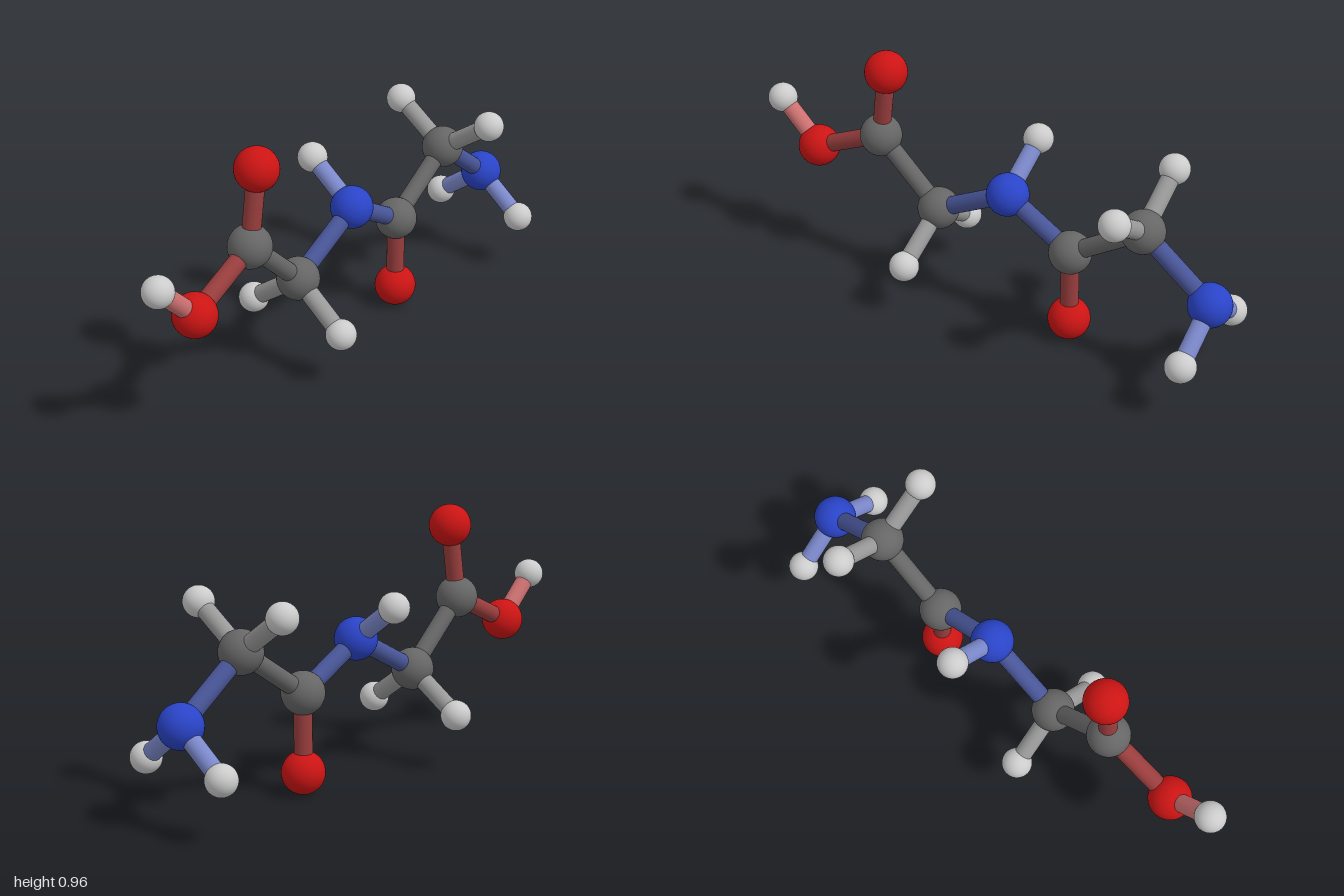
import * as THREE from 'three';

// Elements: name, colour, ball radius
const ELEMENTS = {
  C: { name: 'carbon', color: 0x666666, r: 0.08 },
  O: { name: 'oxygen', color: 0xcc1414, r: 0.08 },
  N: { name: 'nitrogen', color: 0x2a44c8, r: 0.08 },
  H: { name: 'hydrogen', color: 0xcccccc, r: 0.057 },
};
const BOND_RADIUS = 0.034;

// Atoms: element, x, y, z, index of the atom it is bonded to
const ATOMS = [
  ['C', -0.483, 0.6, 0.005, -1],   // 0 acid carbon
  ['O', -0.445, 0.882, 0.01, 0],
  ['O', -0.777, 0.463, 0.018, 0],  // 2 hydroxyl
  ['H', -0.943, 0.625, 0.02, 2],
  ['C', -0.227, 0.362, 0, 0],      // 4
  ['H', -0.24, 0.212, 0.212, 4],
  ['H', -0.24, 0.215, -0.208, 4],
  ['N', 0.08, 0.53, -0.002, 4],    // 7
  ['H', 0.087, 0.673, -0.197, 7],
  ['C', 0.35, 0.378, -0.003, 7],   // 9
  ['O', 0.353, 0.085, -0.004, 9],
  ['C', 0.64, 0.577, -0.003, 9],   // 11
  ['H', 0.641, 0.722, 0.21, 11],
  ['H', 0.641, 0.725, -0.211, 11],
  ['N', 0.914, 0.372, -0.005, 11], // 14
  ['H', 0.911, 0.225, 0.186, 14],
  ['H', 0.911, 0.228, -0.2, 14],
];

export function createModel() {
  const model = new THREE.Group();
  model.name = 'molecule';
  const material = (color) => new THREE.MeshStandardMaterial({ color });
  const position = (atom) => new THREE.Vector3(atom[1], atom[2], atom[3]);
  const up = new THREE.Vector3(0, 1, 0);

  for (const atom of ATOMS) {
    // Ball
    const element = ELEMENTS[atom[0]];
    const end = position(atom);
    const ball = new THREE.Mesh(new THREE.SphereGeometry(element.r, 40, 24), material(element.color));
    ball.name = element.name + 'Atom';
    ball.position.copy(end);
    model.add(ball);

    // Stick to the parent atom, in the mean of both colours
    if (atom[4] < 0) continue;
    const parent = ATOMS[atom[4]];
    const other = ELEMENTS[parent[0]];
    const start = position(parent);
    const direction = end.clone().sub(start);
    const mix = [16, 8, 0].reduce((sum, shift) =>
      sum | ((((element.color >> shift) & 255) + ((other.color >> shift) & 255)) >> 1) << shift, 0);
    const stick = new THREE.Mesh(
      new THREE.CylinderGeometry(BOND_RADIUS, BOND_RADIUS, direction.length(), 24, 1, true),
      material(mix));
    stick.name = other.name + 'To' + element.name[0].toUpperCase() + element.name.slice(1) + 'Bond';
    stick.position.copy(start).add(end).multiplyScalar(0.5);
    stick.quaternion.setFromUnitVectors(up, direction.normalize());
    model.add(stick);
  }
  return model;
}
